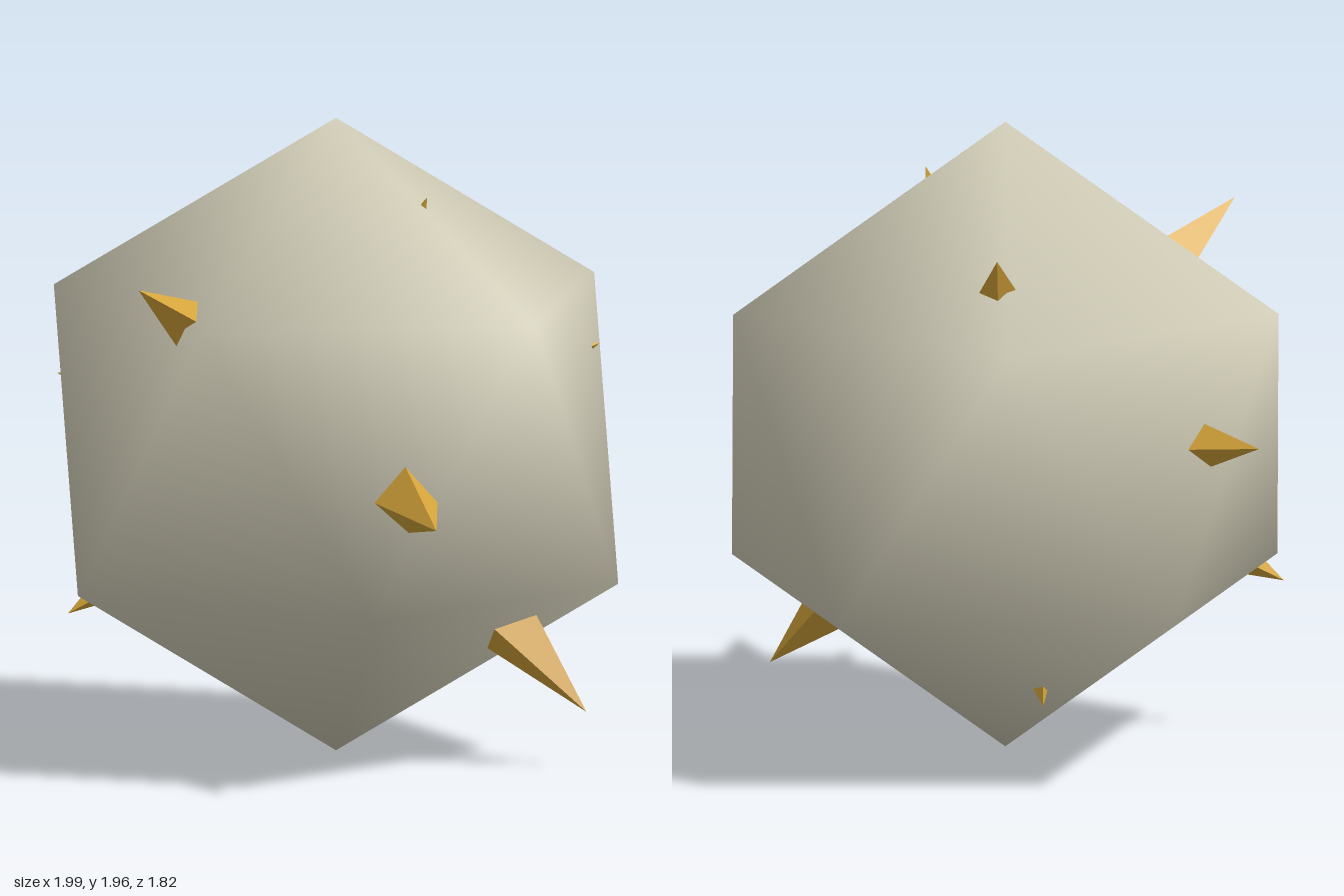
import * as THREE from 'three';

const RADIUS = 0.98;
const CENTRE = new THREE.Vector3(-0.022, 0.98, -0.08);

// Twenty-sided solid with shared vertices, so its shading is smooth
function bodyGeometry() {
  const points = [0, RADIUS, 0, 0, -RADIUS, 0];
  const ringY = RADIUS / Math.sqrt(5), ringR = 2 * ringY;
  for (let k = 0; k < 5; k++) {
    const a = k * Math.PI * 0.4, b = a + Math.PI * 0.2;
    points.push(ringR * Math.cos(a), ringY, ringR * Math.sin(a));
    points.push(ringR * Math.cos(b), -ringY, ringR * Math.sin(b));
  }
  const faces = [];
  const upper = (k) => 2 + 2 * (k % 5), lower = (k) => 3 + 2 * (k % 5);
  for (let k = 0; k < 5; k++) {
    faces.push(0, upper(k + 1), upper(k));
    faces.push(upper(k + 1), lower(k), upper(k));
    faces.push(upper(k + 1), lower(k + 1), lower(k));
    faces.push(1, lower(k), lower(k + 1));
  }
  const g = new THREE.BufferGeometry();
  g.setAttribute('position', new THREE.Float32BufferAttribute(points, 3));
  g.setIndex(faces);
  g.computeVertexNormals();
  return g;
}

export function createModel() {
  const group = new THREE.Group();
  group.name = 'spikedBall';
  const bone = new THREE.MeshStandardMaterial({ color: 0xd4d0ba });
  bone.name = 'bone';
  const gold = new THREE.MeshStandardMaterial({ color: 0xd4a43a, flatShading: true });
  gold.name = 'gold';

  const body = new THREE.Mesh(bodyGeometry(), bone);
  body.name = 'body';
  body.position.copy(CENTRE);
  group.add(body);

  // Ten four-sided spikes on a golden spiral, in three repeating lengths
  const COUNT = 10, ROOT = 0.6;
  const golden = Math.PI * (3 - Math.sqrt(5));
  const tips = [0.86, 1.01, 1.157];
  const slopes = [0.4, 0.325, 0.285];
  for (let i = 0; i < COUNT; i++) {
    const y = 1 - (2 * i + 1) / COUNT;
    const r = Math.sqrt(1 - y * y);
    const a = -0.072 - golden * i;
    const dir = new THREE.Vector3(r * Math.cos(a), y, r * Math.sin(a));
    const length = tips[i % 3] - ROOT;
    const cone = new THREE.ConeGeometry(slopes[i % 3] * length, length, 4);
    cone.translate(0, length / 2, 0).rotateX(Math.PI / 2);
    const spike = new THREE.Mesh(cone, gold);
    spike.name = 'spike' + (i + 1);
    spike.position.copy(CENTRE).addScaledVector(dir, ROOT);
    spike.lookAt(spike.position.clone().add(dir));
    group.add(spike);
  }
  return group;
}
